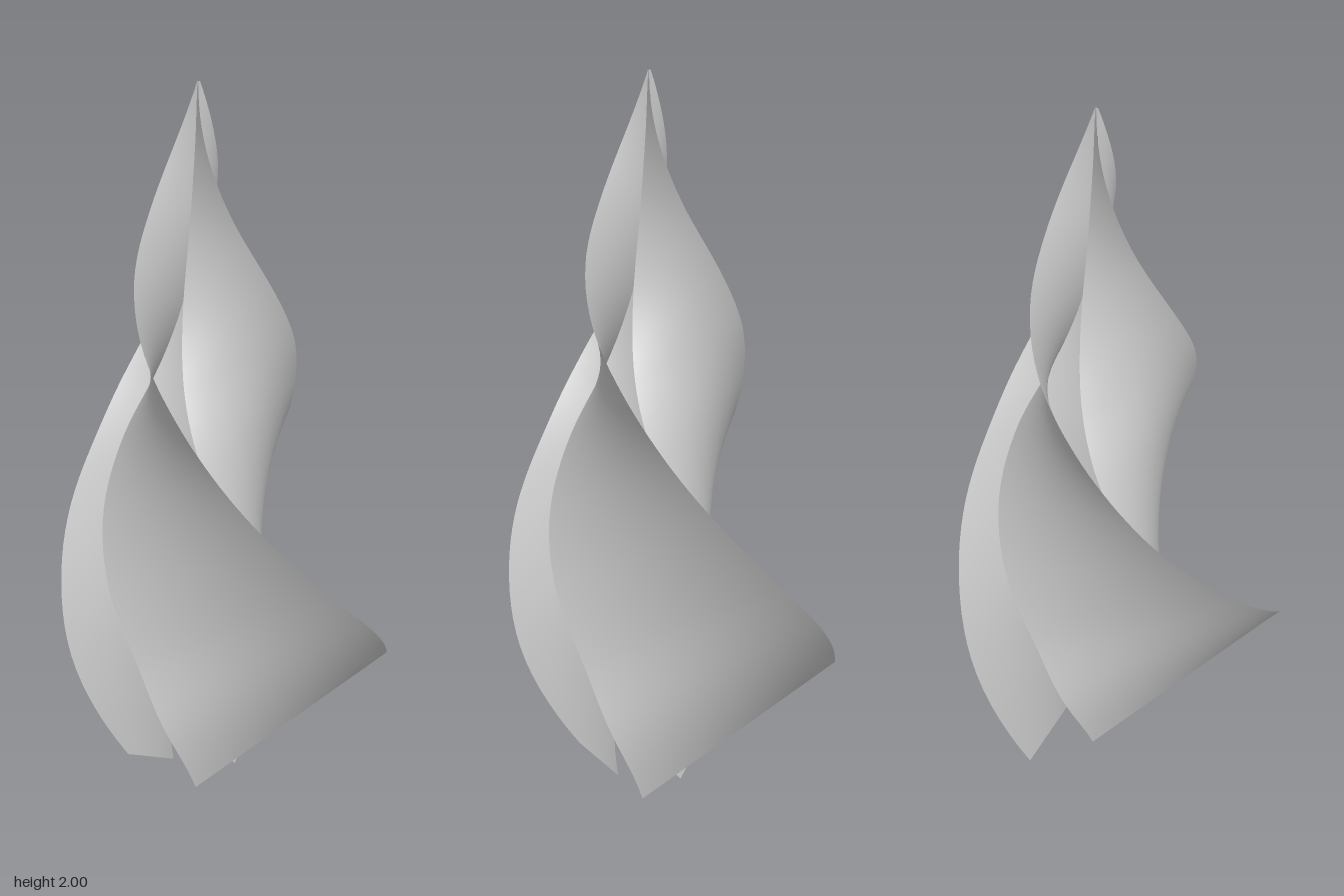
import * as THREE from 'three';
import { ParametricGeometry } from 'three/addons/geometries/ParametricGeometry.js';

const DEG = Math.PI / 180;

// Edge curve sampled at equal steps: each control point is (radius, angle in degrees, height)
function edgeCurve(radii, angleAt, heightAt) {
  const last = radii.length - 1;
  return new THREE.CatmullRomCurve3(
    radii.map((r, i) => new THREE.Vector3(r, angleAt(i), heightAt(i / last))), false, 'catmullrom');
}

// Outer edge sweeps from the wide low corner up to the tip
const outerEdge = edgeCurve(
  [0.545, 0.485, 0.415, 0.358, 0.307, 0.276, 0.25, 0.2, 0.13, 0.065, 0.004],
  i => -16.5 + 22.5 * i,
  t => 0.33 + 1.67 * t);

// Inner edge starts at the foot, swells past the axis and closes at the tip
const innerAngles = [0, 24, 47, 70, 90, 108, 126, 142, 160, 185, 210];
const innerEdge = edgeCurve(
  [0.104, 0.18, 0.215, 0.26, 0.272, 0.235, 0.155, 0.085, 0.035, 0.012, 0.003],
  i => 92 + innerAngles[i],
  t => 2 * t);

function edgePoint(curve, t) {
  const p = curve.getPoint(t);
  return new THREE.Vector3(p.x * Math.cos(p.y * DEG), p.z, p.x * Math.sin(p.y * DEG));
}

export function createModel() {
  const group = new THREE.Group();
  group.name = 'twistedSpire';
  const material = new THREE.MeshStandardMaterial({ color: 0xcccccc, side: THREE.DoubleSide });

  // Blade: straight rulings stretched between the two edges
  const blade = new ParametricGeometry((u, v, target) => {
    target.copy(edgePoint(innerEdge, v)).lerp(edgePoint(outerEdge, v), u);
  }, 6, 60);

  // Three blades around an axis set slightly off centre
  for (let k = 0; k < 3; k++) {
    const mesh = new THREE.Mesh(blade, material);
    mesh.name = `blade${k + 1}`;
    mesh.rotation.y = -k * 2 * Math.PI / 3;
    mesh.position.set(-0.063, 0, -0.045);
    group.add(mesh);
  }
  return group;
}
